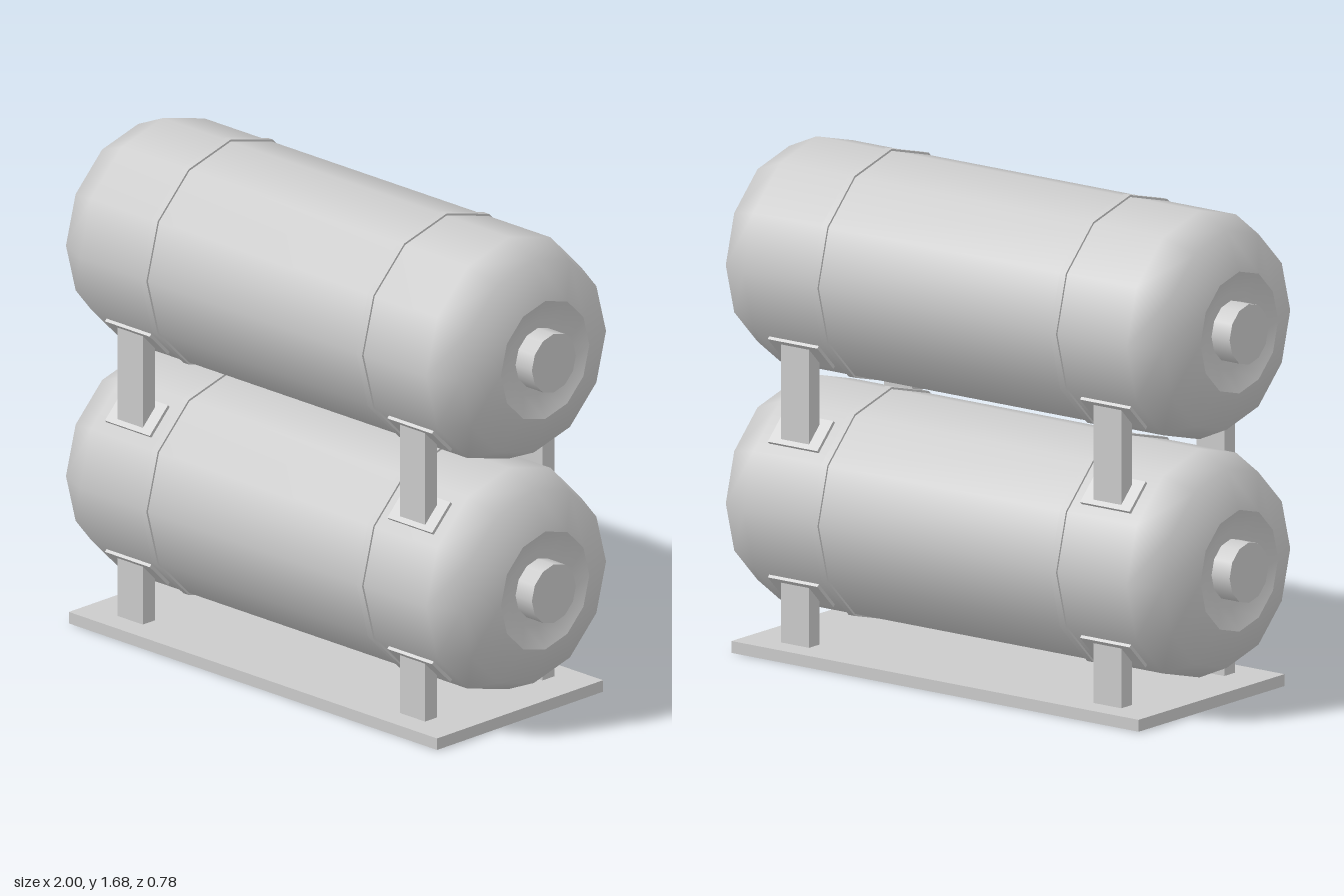
import * as THREE from 'three';

const SIDES = 12;
const material = new THREE.MeshStandardMaterial({ color: 0xcccccc });
const openMaterial = new THREE.MeshStandardMaterial({ color: 0xcccccc, side: THREE.DoubleSide });

function add(parent, name, geometry, x = 0, y = 0, z = 0, mat = material) {
  const mesh = new THREE.Mesh(geometry, mat);
  mesh.name = name;
  mesh.position.set(x, y, z);
  parent.add(mesh);
  return mesh;
}

// Surface of revolution from [radius, height] pairs
function lathe(points) {
  return new THREE.LatheGeometry(points.map(([r, h]) => new THREE.Vector2(r, h)), SIDES);
}

// Horizontal tank along x, with domed ends, dished recesses, hubs and bands
function createTank(y) {
  const tank = new THREE.Group();
  tank.name = 'tank';
  tank.position.y = y;

  const shell = lathe([
    [0.205, -0.96], [0.335, -0.908], [0.385, -0.795],
    [0.385, 0.795], [0.335, 0.908], [0.205, 0.96],
  ]);
  add(tank, 'tankShell', shell.rotateZ(-Math.PI / 2));

  for (const side of [-1, 1]) {
    const turn = -side * Math.PI / 2;
    const dish = lathe([[0.205, 0.96], [0.13, 0.925], [0, 0.925]]);
    add(tank, 'endDish', dish.rotateZ(turn));
    const hub = new THREE.CylinderGeometry(0.102, 0.102, 0.09, SIDES);
    add(tank, 'endHub', hub.rotateZ(turn), side * 0.955);
    const band = new THREE.CylinderGeometry(0.392, 0.392, 0.025, SIDES);
    add(tank, 'band', band.rotateZ(turn), side * 0.495);
  }
  return tank;
}

// Upright post between two heights
function addPost(parent, name, x, z, bottom, top) {
  add(parent, name, new THREE.BoxGeometry(0.116, top - bottom, 0.056), x, (bottom + top) / 2, z);
}

// Plate lying on a 45 degree facet of a tank; up is +1 above its middle, -1 below
function addPad(parent, x, tankY, front, up) {
  const reach = 0.374 * Math.SQRT1_2;
  const pad = add(parent, 'saddlePad', new THREE.BoxGeometry(0.206, 0.12, 0.018),
    x, tankY + up * reach, front * reach);
  pad.rotation.x = -front * up * Math.PI / 4;
}

export function createModel() {
  const model = new THREE.Group();
  model.name = 'stackedTanks';
  const lowerY = 0.483;
  const upperY = 1.285;

  // Base tray, open underneath
  const base = new THREE.BoxGeometry(1.69, 0.04, 0.77);
  const index = Array.from(base.index.array);
  index.splice(18, 6);
  base.setIndex(index);
  base.clearGroups();
  add(model, 'base', base, 0, 0.02, 0, openMaterial);

  model.add(createTank(lowerY), createTank(upperY));

  // Four supports under each tank
  for (const x of [-0.648, 0.648]) {
    for (const front of [-1, 1]) {
      addPost(model, 'lowerLeg', x, front * 0.272, 0.04, 0.245);
      addPost(model, 'upperLeg', x, front * 0.272, 0.72, 1.047);
      addPad(model, x, lowerY, front, -1);
      addPad(model, x, lowerY, front, 1);
      addPad(model, x, upperY, front, -1);
    }
  }
  return model;
}
